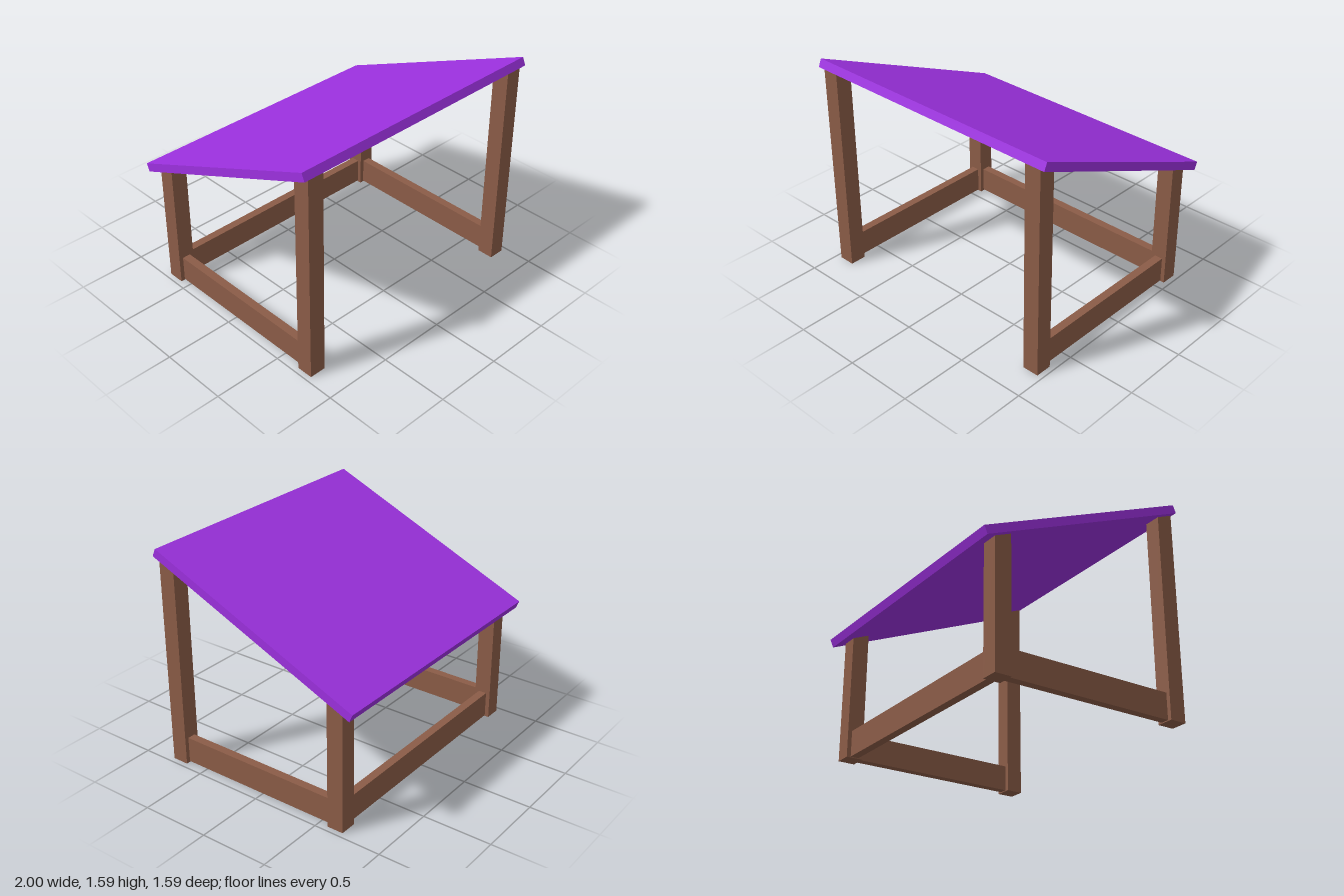
import * as THREE from 'three';

const PITCH = 0.407;   // roof slope, high at the front
const ROOF_Y = 1.226;  // roof centre height
const ROOF_T = 0.06;   // roof thickness
const POST = 0.12;     // post side

// height of the roof's underside at depth z
const underside = (z) => ROOF_Y - ROOF_T / 2 / Math.cos(PITCH) + z * Math.tan(PITCH);

export function createModel() {
  const group = new THREE.Group();
  const wood = new THREE.MeshStandardMaterial({ name: 'brown wood', color: 0x8b5c47 });
  const purple = new THREE.MeshStandardMaterial({ name: 'purple roof', color: 0x9d31e0 });

  const add = (name, geometry, material, x, y, z) => {
    const mesh = new THREE.Mesh(geometry, material);
    mesh.name = name;
    mesh.position.set(x, y, z);
    group.add(mesh);
    return mesh;
  };

  // square post whose top is cut to meet the sloping roof
  const post = (z) => {
    const geometry = new THREE.BoxGeometry(POST, 1, POST);
    const p = geometry.attributes.position;
    for (let i = 0; i < p.count; i++) {
      p.setY(i, p.getY(i) > 0 ? underside(z + p.getZ(i)) : 0);
    }
    const flat = geometry.toNonIndexed();
    flat.computeVertexNormals();
    return flat;
  };

  // tilted roof board
  add('roof', new THREE.BoxGeometry(2, ROOF_T, 1.704), purple, 0, ROOF_Y, 0).rotation.x = -PITCH;

  // posts and side rails, mirrored left and right
  const frontZ = 0.72, backZ = -0.63;
  for (const [side, s] of [['left', 1], ['right', -1]]) {
    add(side + 'FrontPost', post(frontZ), wood, s * 0.9, 0, frontZ);
    add(side + 'BackPost', post(backZ), wood, s * 0.9, 0, backZ);
    add(side + 'Rail', new THREE.BoxGeometry(0.06, 0.187, frontZ - backZ - POST), wood,
      s * 0.9, 0.1, (frontZ + backZ) / 2);
  }

  // rail across the back; the front stays open
  add('backRail', new THREE.BoxGeometry(1.8 - POST, 0.187, 0.06), wood, 0, 0.1, backZ);

  return group;
}
